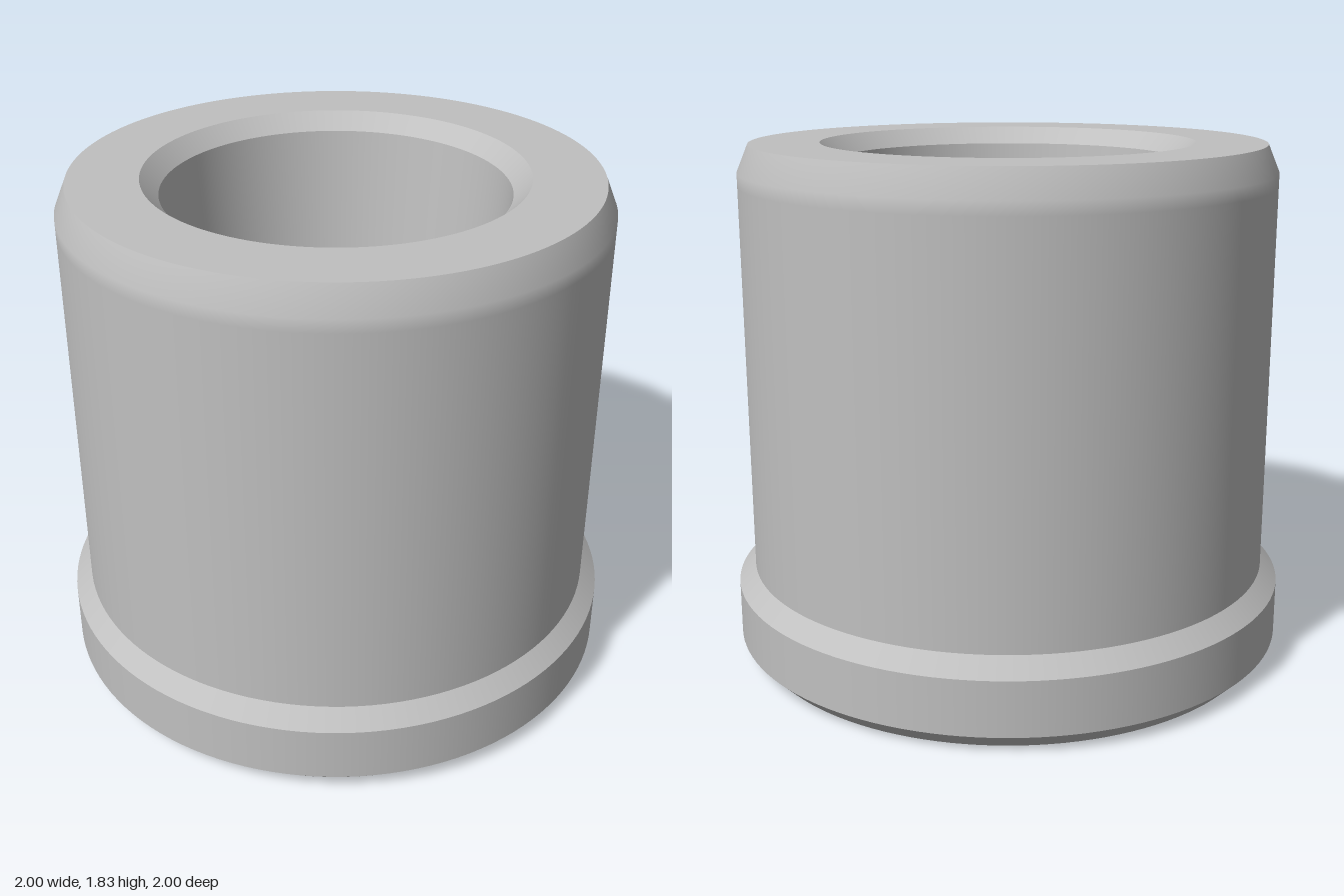
import * as THREE from 'three';

const SEGMENTS = 128;

export function createModel() {
  const group = new THREE.Group();
  group.name = 'bushing';

  const steel = new THREE.MeshStandardMaterial({ color: 0xc0c0c0 });
  steel.name = 'steel grey';

  // Each band is a [radius, height] profile, smooth within and sharp at its ends.
  // Outside bands run upwards, bore bands run downwards.
  const bands = {
    bottomFace: [[0.516, 0], [0.94, 0]],
    flangeLowerChamfer: [[0.94, 0], [1, 0.06]],
    flangeRim: [[1, 0.06], [1, 0.255]],
    flangeUpperChamfer: [[1, 0.255], [0.94, 0.315]],
    sleeveWall: [[0.94, 0.315], [0.94, 1.69], [0.94, 1.735], [0.9, 1.83]],
    topFace: [[0.9, 1.83], [0.655, 1.83]],
    boreChamfer: [[0.655, 1.83], [0.595, 1.77]],
    // tapered bore with a flared mouth at the flange end
    bore: [[0.595, 1.77], [0.463, 0.22], [0.456, 0.14], [0.475, 0.07], [0.516, 0]],
  };

  for (const [name, profile] of Object.entries(bands)) {
    const points = profile.map(([r, y]) => new THREE.Vector2(r, y));
    const mesh = new THREE.Mesh(new THREE.LatheGeometry(points, SEGMENTS), steel);
    mesh.name = name;
    group.add(mesh);
  }
  return group;
}
